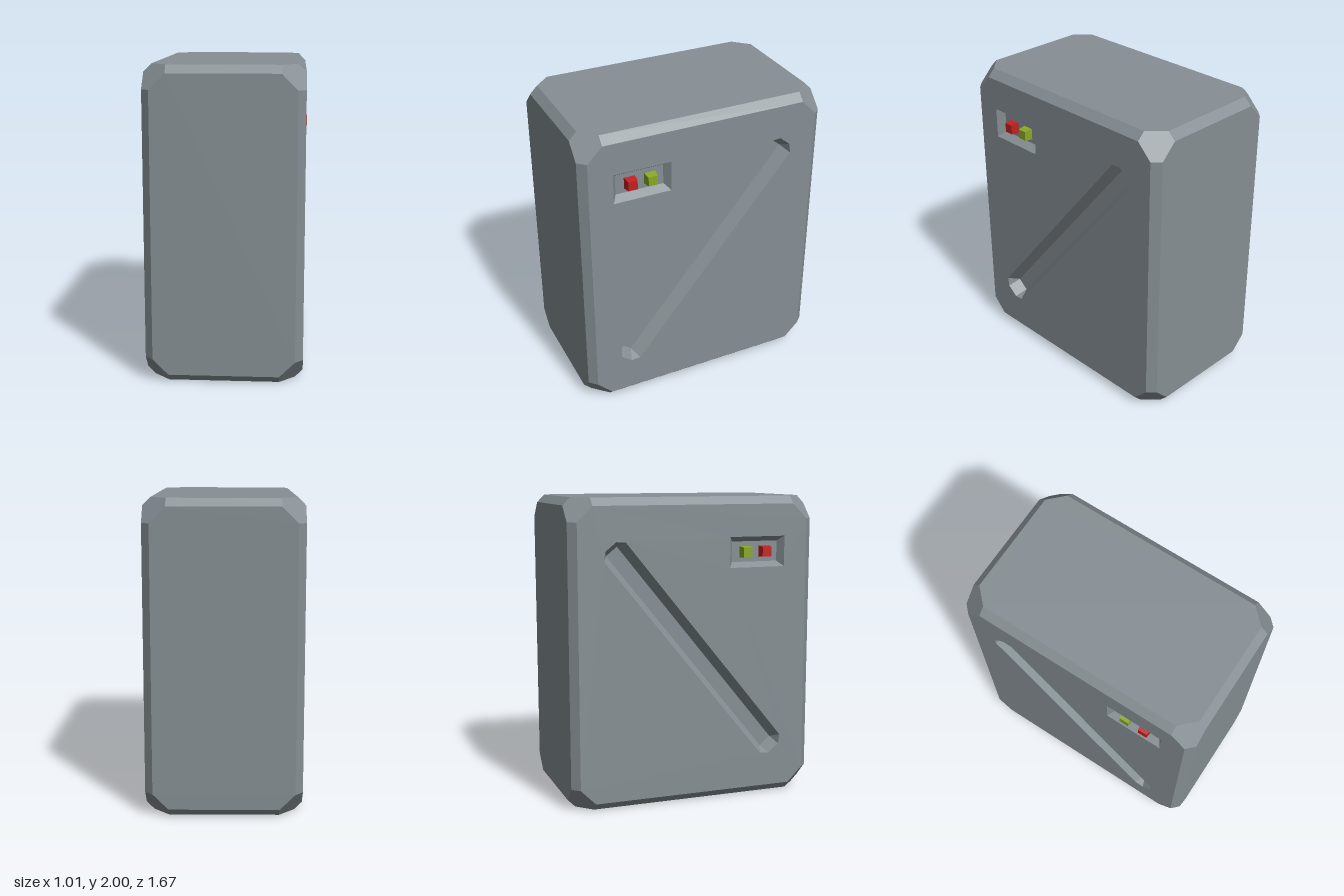
import * as THREE from 'three';
import { mergeGeometries } from 'three/addons/utils/BufferGeometryUtils.js';
import { ConvexGeometry } from 'three/addons/geometries/ConvexGeometry.js';

const HX = 0.5, HY = 1, HZ = 0.833; // half sizes of the case
const BEVEL = 0.05, CORNER = 0.15;

const mat = (name, color) => Object.assign(new THREE.MeshStandardMaterial({ color }), { name });

function triangles(points) {
  const g = new THREE.BufferGeometry().setFromPoints(points);
  g.computeVertexNormals();
  return g;
}

const pointsOf = (g) => {
  const p = g.attributes.position;
  return Array.from({ length: p.count }, (_, i) => new THREE.Vector3().fromBufferAttribute(p, i));
};

// Triangles of the +x side, reflected to -x with their corner order reversed
function onSide(points, side) {
  if (side > 0) return triangles(points);
  return triangles(points.map((p) => new THREE.Vector3(-p.x, p.y, p.z)).reverse());
}

// Bevelled case with cut corners, leaving the two side faces open
function shellGeometry() {
  const pts = [];
  for (const sx of [-1, 1]) for (const sy of [-1, 1]) for (const sz of [-1, 1]) {
    const cuts = [0, BEVEL, CORNER];
    for (const [i, j, k] of [[0, 1, 2], [0, 2, 1], [1, 0, 2], [2, 0, 1], [1, 2, 0], [2, 1, 0]]) {
      pts.push(new THREE.Vector3(sx * (HX - cuts[i]), HY + sy * (HY - cuts[j]), sz * (HZ - cuts[k])));
    }
  }
  const hull = pointsOf(new ConvexGeometry(pts));
  const kept = [];
  for (let i = 0; i < hull.length; i += 3) {
    const tri = hull.slice(i, i + 3);
    if (!tri.every((p) => Math.abs(Math.abs(p.x) - HX) < 1e-4)) kept.push(...tri);
  }
  return triangles(kept);
}

// Side outlines use u = -z, v = y, running counter-clockwise
const V = (u, v) => new THREE.Vector2(u, v);
const rect = (u0, v0, u1, v1) => [V(u0, v0), V(u1, v0), V(u1, v1), V(u0, v1)];
const place = (p, depth) => new THREE.Vector3(HX - depth, p.y, -p.x);

// Sloping walls from rim to floor, closed by a flat floor
function recess(rim, floor, depth) {
  const out = [], n = rim.length;
  const add = (a, b, c) => {
    if (new THREE.Triangle(a, b, c).getArea() > 1e-7) out.push(a, b, c);
  };
  const R = rim.map((p) => place(p, 0)), F = floor.map((p) => place(p, depth));
  for (let i = 0; i < n; i++) {
    const j = (i + 1) % n;
    add(R[i], R[j], F[j]);
    add(R[i], F[j], F[i]);
    if (i > 0 && i < n - 1) add(F[0], F[i], F[j]);
  }
  return out;
}

// Diagonal groove: half a hexagon in section, with sloped ends
const A = V(-0.541, 0.337), B = V(0.541, 1.663), R = 0.092, CAP = 0.044;
const along = B.clone().sub(A).normalize(), across = V(along.y, -along.x);
const at = (end, s, t) => end.clone().addScaledVector(across, s * R).addScaledVector(along, t);
const grooveRim = [
  at(A, -1, 0), at(A, -0.5, -CAP), at(A, 0.5, -CAP), at(A, 1, 0),
  at(B, 1, 0), at(B, 0.5, CAP), at(B, -0.5, CAP), at(B, -1, 0),
];
const grooveFloor = [A, B].flatMap((e, i) => [-0.5, -0.5, 0.5, 0.5].map((s) => at(e, i ? -s : s, 0)));

// Control panel recess
const panelRim = rect(-0.623, 1.54, -0.236, 1.74);
const panelFloor = rect(-0.59, 1.573, -0.269, 1.707);

function sideFace() {
  const u = HZ - BEVEL, uc = HZ - CORNER, v = HY - BEVEL, vc = HY - CORNER;
  const shape = new THREE.Shape([[-uc, -v], [uc, -v], [u, -vc], [u, vc], [uc, v], [-uc, v], [-u, vc], [-u, -vc]]
    .map(([a, b]) => V(a, HY + b)));
  for (const rim of [grooveRim, panelRim]) shape.holes.push(new THREE.Path(rim));
  return pointsOf(new THREE.ShapeGeometry(shape).toNonIndexed()).map((p) => place(p, 0));
}

// Slightly tapered square button pointing out of the panel
function buttonGeometry(side) {
  const g = new THREE.CylinderGeometry(0.031 * Math.SQRT2, 0.037 * Math.SQRT2, 0.055, 4)
    .rotateY(Math.PI / 4).rotateZ(-side * Math.PI / 2).toNonIndexed();
  g.computeVertexNormals();
  return g;
}

export function createModel() {
  const model = new THREE.Group();
  model.name = 'metalCase';
  const grey = mat('caseGrey', 0x868f94);
  const red = mat('buttonRed', 0xc42020);
  const green = mat('buttonGreen', 0x8aa824);
  const add = (name, geometry, material) => {
    const mesh = new THREE.Mesh(geometry, material);
    mesh.name = name;
    model.add(mesh);
    return mesh;
  };

  add('caseShell', shellGeometry(), grey);
  for (const side of [1, -1]) {
    const label = side > 0 ? 'left' : 'right';
    add(label + 'SideFace', onSide(sideFace(), side), grey);
    add(label + 'Recesses', mergeGeometries([
      onSide(recess(grooveRim, grooveFloor, R * 0.866), side),
      onSide(recess(panelRim, panelFloor, 0.05), side),
    ]), grey);
    add(label + 'RedButton', buttonGeometry(side), red).position.set(side * 0.4775, 1.639, 0.496);
    add(label + 'GreenButton', buttonGeometry(side), green).position.set(side * 0.4775, 1.639, 0.361);
  }
  return model;
}
